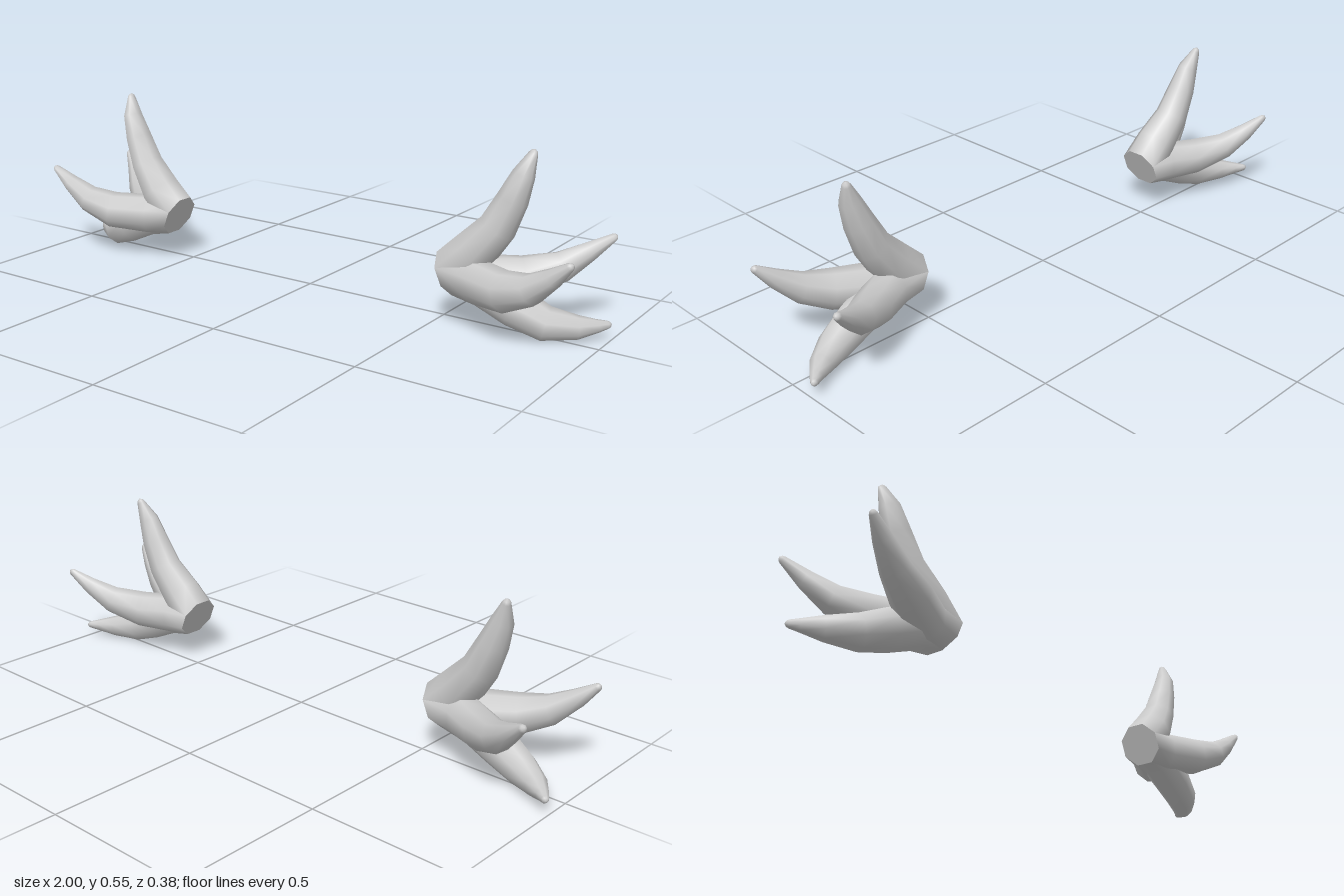
import * as THREE from 'three';

const SIDES = 8;
const MATERIAL = new THREE.MeshStandardMaterial({ color: 0xcccccc });
const ROOT = [0.53, 0.16, 0.035, 0.074];
const ROOT_AXIS = new THREE.Vector3(0.92, 0.39, 0).normalize();

// Centre line of every prong on the left cluster: x, y, z, radius
const PRONGS = {
  upperProng: [[0.61, 0.235, 0.034, 0.07], [0.68, 0.32, 0.023, 0.057], [0.722, 0.41, 0.018, 0.047],
    [0.75, 0.485, 0.014, 0.034], [0.769, 0.545, -0.002, 0.014]],
  frontProng: [[0.64, 0.157, 0.065, 0.067], [0.76, 0.165, 0.122, 0.062], [0.85, 0.197, 0.148, 0.047],
    [0.92, 0.248, 0.164, 0.03], [0.973, 0.294, 0.177, 0.013]],
  backProng: [[0.64, 0.157, 0.01, 0.067], [0.74, 0.163, -0.045, 0.062], [0.83, 0.193, -0.105, 0.048],
    [0.895, 0.24, -0.147, 0.031], [0.955, 0.286, -0.179, 0.013]],
  lowerProng: [[0.65, 0.14, 0.035, 0.067], [0.75, 0.092, 0.03, 0.063], [0.84, 0.054, 0.014, 0.053],
    [0.92, 0.046, -0.03, 0.036], [0.965, 0.048, -0.068, 0.02], [0.987, 0.05, -0.09, 0.012]],
};

// Corners of a ring around a centre, square to the given axis
function ring([x, y, z, r], axis) {
  const u = new THREE.Vector3(0, 0, 1).addScaledVector(axis, -axis.z).normalize();
  const v = new THREE.Vector3().crossVectors(axis, u);
  return Array.from({ length: SIDES }, (_, i) => {
    const a = ((i + 0.5) / SIDES) * Math.PI * 2;
    return new THREE.Vector3(x, y, z).addScaledVector(u, r * Math.cos(a)).addScaledVector(v, r * Math.sin(a));
  });
}

// Indexed geometry; side -1 mirrors it and turns its faces round
function makeGeometry(points, faces, side) {
  const geometry = new THREE.BufferGeometry();
  const mirrored = points.map((p) => new THREE.Vector3(p.x * side, p.y, p.z));
  geometry.setFromPoints(mirrored);
  geometry.setIndex(faces.flatMap(([a, b, c]) => (side > 0 ? [a, b, c] : [a, c, b])));
  geometry.computeVertexNormals();
  return geometry;
}

// Tapering bent prong with a rounded tip
function prongGeometry(path, side) {
  const stations = [ROOT, ...path];
  const centres = stations.map((s) => new THREE.Vector3(s[0], s[1], s[2]));
  const last = stations.length - 1;
  const points = [];
  stations.forEach((s, i) => {
    const axis = i === 0 ? ROOT_AXIS
      : centres[Math.min(i + 1, last)].clone().sub(centres[i - 1]).normalize();
    points.push(...ring(s, axis));
  });
  const end = centres[last].clone().sub(centres[last - 1]).normalize();
  const r = stations[last][3];
  const near = centres[last].clone().addScaledVector(end, r * 0.6);
  points.push(...ring([near.x, near.y, near.z, r * 0.7], end));
  points.push(centres[last].clone().addScaledVector(end, r));

  const faces = [];
  for (let k = 0; k <= last; k++) {
    for (let i = 0; i < SIDES; i++) {
      const a = k * SIDES + i, b = k * SIDES + (i + 1) % SIDES;
      faces.push([a, b, b + SIDES], [a, b + SIDES, a + SIDES]);
    }
  }
  const top = (last + 1) * SIDES;
  for (let i = 0; i < SIDES; i++) faces.push([top + i, top + (i + 1) % SIDES, top + SIDES]);
  return makeGeometry(points, faces, side);
}

// Flat root end shared by all prongs
function rootGeometry(side) {
  const points = [...ring(ROOT, ROOT_AXIS), new THREE.Vector3(...ROOT.slice(0, 3))];
  const faces = Array.from({ length: SIDES }, (_, i) => [SIDES, (i + 1) % SIDES, i]);
  return makeGeometry(points, faces, side);
}

export function createModel() {
  const model = new THREE.Group();
  model.name = 'prongClusters';
  for (const side of [1, -1]) {
    const cluster = new THREE.Group();
    cluster.name = side > 0 ? 'leftCluster' : 'rightCluster';
    const add = (geometry, name) => {
      const mesh = new THREE.Mesh(geometry, MATERIAL);
      mesh.name = name;
      cluster.add(mesh);
    };
    for (const [name, path] of Object.entries(PRONGS)) add(prongGeometry(path, side), name);
    add(rootGeometry(side), 'rootCap');
    model.add(cluster);
  }
  return model;
}
